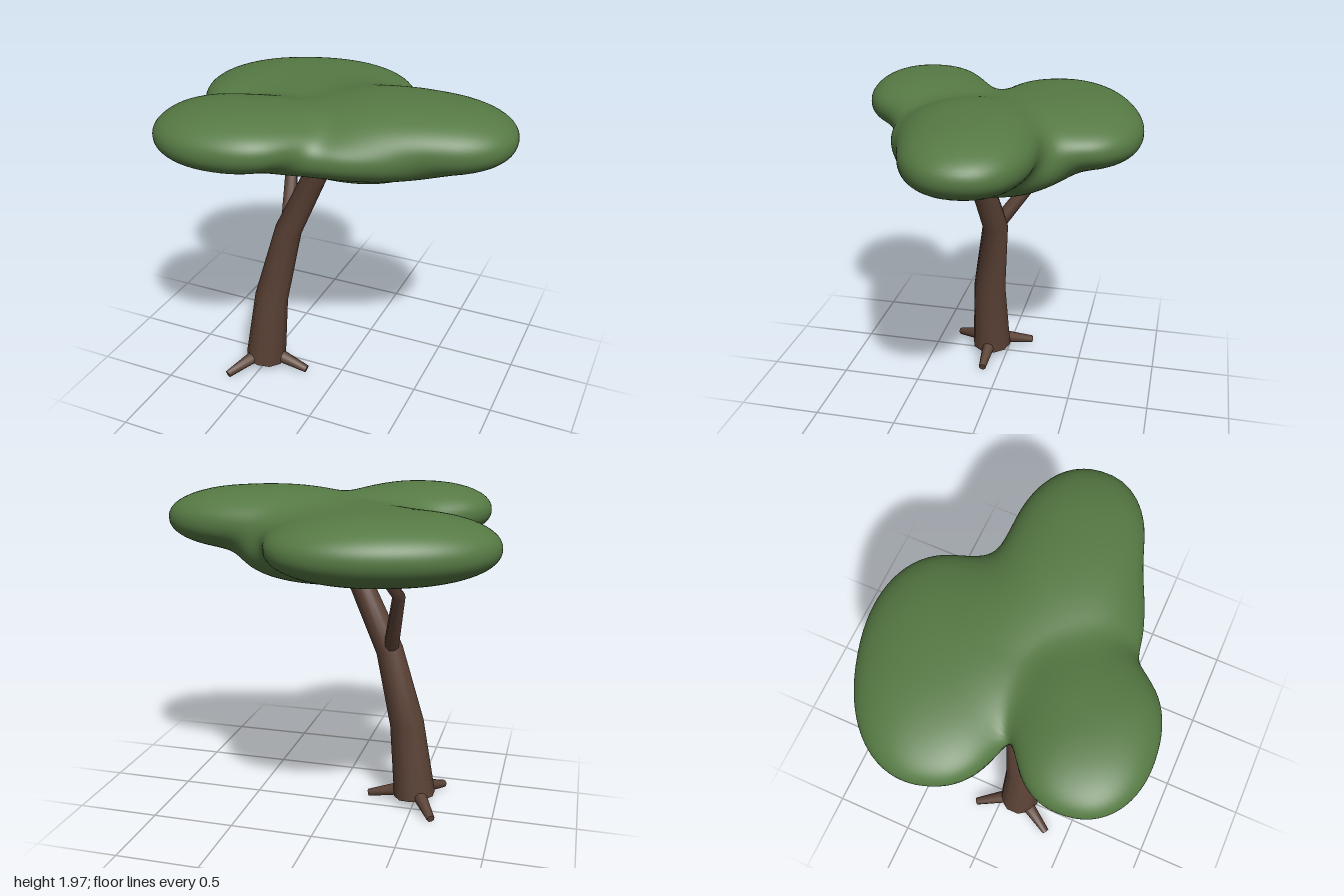
import * as THREE from 'three';
import { mergeVertices } from 'three/addons/utils/BufferGeometryUtils.js';

const bark = new THREE.MeshStandardMaterial({ color: 0x5b4236 });
bark.name = 'bark brown';
const leaf = new THREE.MeshStandardMaterial({ color: 0x567a44 });
leaf.name = 'leaf green';

// Tapered limb lofted through stations [x, y, z, radius], with flat end caps
function limb(name, stations, sides = 10) {
  const centres = stations.map(s => new THREE.Vector3(s[0], s[1], s[2]));
  const rings = centres.map((c, i) => {
    const before = centres[Math.max(i - 1, 0)];
    const after = centres[Math.min(i + 1, centres.length - 1)];
    const dir = after.clone().sub(before).normalize();
    const side = new THREE.Vector3(0, 0, 1);
    if (Math.abs(dir.z) > 0.9) side.set(1, 0, 0);
    side.addScaledVector(dir, -side.dot(dir)).normalize();
    const up = dir.clone().cross(side);
    return Array.from({ length: sides }, (_, k) => {
      const a = (k / sides) * Math.PI * 2;
      return c.clone()
        .addScaledVector(side, Math.cos(a) * stations[i][3])
        .addScaledVector(up, Math.sin(a) * stations[i][3]);
    });
  });
  const last = rings.length - 1;
  // cap rings are repeated so that the end edges stay sharp
  const points = [...rings.flat(), ...rings[0], ...rings[last], centres[0], centres[last]];
  const capA = rings.length * sides, capB = capA + sides, midA = capB + sides, midB = midA + 1;
  const index = [];
  for (let k = 0; k < sides; k++) {
    const n = (k + 1) % sides;
    for (let i = 0; i < last; i++) {
      const a = i * sides + k, b = i * sides + n;
      index.push(a, b, b + sides, a, b + sides, a + sides);
    }
    index.push(midA, capA + n, capA + k, midB, capB + k, capB + n);
  }
  const geo = new THREE.BufferGeometry().setFromPoints(points);
  geo.setIndex(index);
  geo.computeVertexNormals();
  const mesh = new THREE.Mesh(geo, bark);
  mesh.name = name;
  return mesh;
}

// Foliage lobes: centre, radii, turn about y
const lobes = [
  { c: [0.455, 1.782, 0.015], r: [0.545, 0.185, 0.365], turn: 0.1 }, // left
  { c: [0.05, 1.73, 0.11], r: [0.56, 0.175, 0.44], turn: 0.15 }, // middle
  { c: [0.06, 1.62, -0.08], r: [0.42, 0.17, 0.37], turn: 0.1 }, // belly
  { c: [-0.37, 1.71, -0.37], r: [0.64, 0.196, 0.445], turn: 0.32 }, // back
  { c: [-0.425, 1.8, 0.483], r: [0.43, 0.163, 0.35], turn: 0.1 }, // front
];
const BLUNT = 2.2; // above 2 gives fuller ends than an ellipsoid
const BLEND = 0.14;

// Approximate signed distance to one turned, blunt ellipsoid
function lobeDistance(p, { c, r, turn }) {
  const dx = p.x - c[0], dy = p.y - c[1], dz = p.z - c[2];
  const cs = Math.cos(turn), sn = Math.sin(turn);
  const u = [cs * dx - sn * dz, dy, sn * dx + cs * dz].map((v, i) => Math.abs(v) / r[i]);
  const size = u.reduce((sum, v) => sum + v ** BLUNT, 0) ** (1 / BLUNT);
  if (size < 1e-4) return -r[1];
  const slope = Math.hypot(...u.map((v, i) => (v / size) ** (BLUNT - 1) / r[i]));
  return (size - 1) / slope;
}

// Lobes softly blended into one mass
function canopyDistance(p) {
  return lobes.map(l => lobeDistance(p, l)).reduce((a, b) => {
    const h = Math.max(BLEND - Math.abs(a - b), 0) / BLEND;
    return Math.min(a, b) - (h * h * BLEND) / 4;
  });
}

// Flattened sphere whose points are drawn inwards onto the blended lobes
function canopy() {
  let geo = new THREE.IcosahedronGeometry(1, 24);
  geo.deleteAttribute('normal');
  geo.deleteAttribute('uv');
  geo = mergeVertices(geo, 1e-4);
  const pos = geo.attributes.position;
  const middle = new THREE.Vector3(-0.17, 1.73, 0.06);
  const flat = new THREE.Vector3(1, 0.32, 1);
  const dir = new THREE.Vector3(), p = new THREE.Vector3();
  for (let i = 0; i < pos.count; i++) {
    dir.fromBufferAttribute(pos, i).multiply(flat);
    let inner = 0, outer = 1.6;
    for (let t = 1.6; t > 0; t -= 0.02) {
      if (canopyDistance(p.copy(middle).addScaledVector(dir, t)) < 0) { inner = t; break; }
      outer = t;
    }
    for (let s = 0; s < 12; s++) {
      const t = (inner + outer) / 2;
      if (canopyDistance(p.copy(middle).addScaledVector(dir, t)) < 0) inner = t; else outer = t;
    }
    p.copy(middle).addScaledVector(dir, inner);
    pos.setXYZ(i, p.x, p.y, p.z);
  }
  geo.computeVertexNormals();
  const mesh = new THREE.Mesh(geo, leaf);
  mesh.name = 'canopy';
  return mesh;
}

export function createModel() {
  const tree = new THREE.Group();
  tree.name = 'tree';

  // Leaning trunk and its side branch
  tree.add(limb('trunk', [
    [-0.5, 0.055, 0.11, 0.13], [-0.44, 0.53, 0.11, 0.105],
    [-0.335, 1.01, 0.05, 0.082], [-0.09, 1.5, 0.12, 0.068],
  ]));
  tree.add(limb('branch', [
    [-0.35, 1.04, 0.02, 0.046], [-0.445, 1.42, -0.26, 0.037], [-0.36, 1.57, -0.35, 0.032],
  ], 8));

  // Three roots spread evenly around the foot
  for (let i = 0; i < 3; i++) {
    const a = (i * Math.PI * 2) / 3;
    const at = (d, y, r) => [-0.5 + Math.cos(a) * d, y, 0.11 + Math.sin(a) * d, r];
    tree.add(limb('root' + (i + 1), [at(0.06, 0.088, 0.046), at(0.295, 0.024, 0.024)], 8));
  }

  tree.add(canopy());
  return tree;
}
